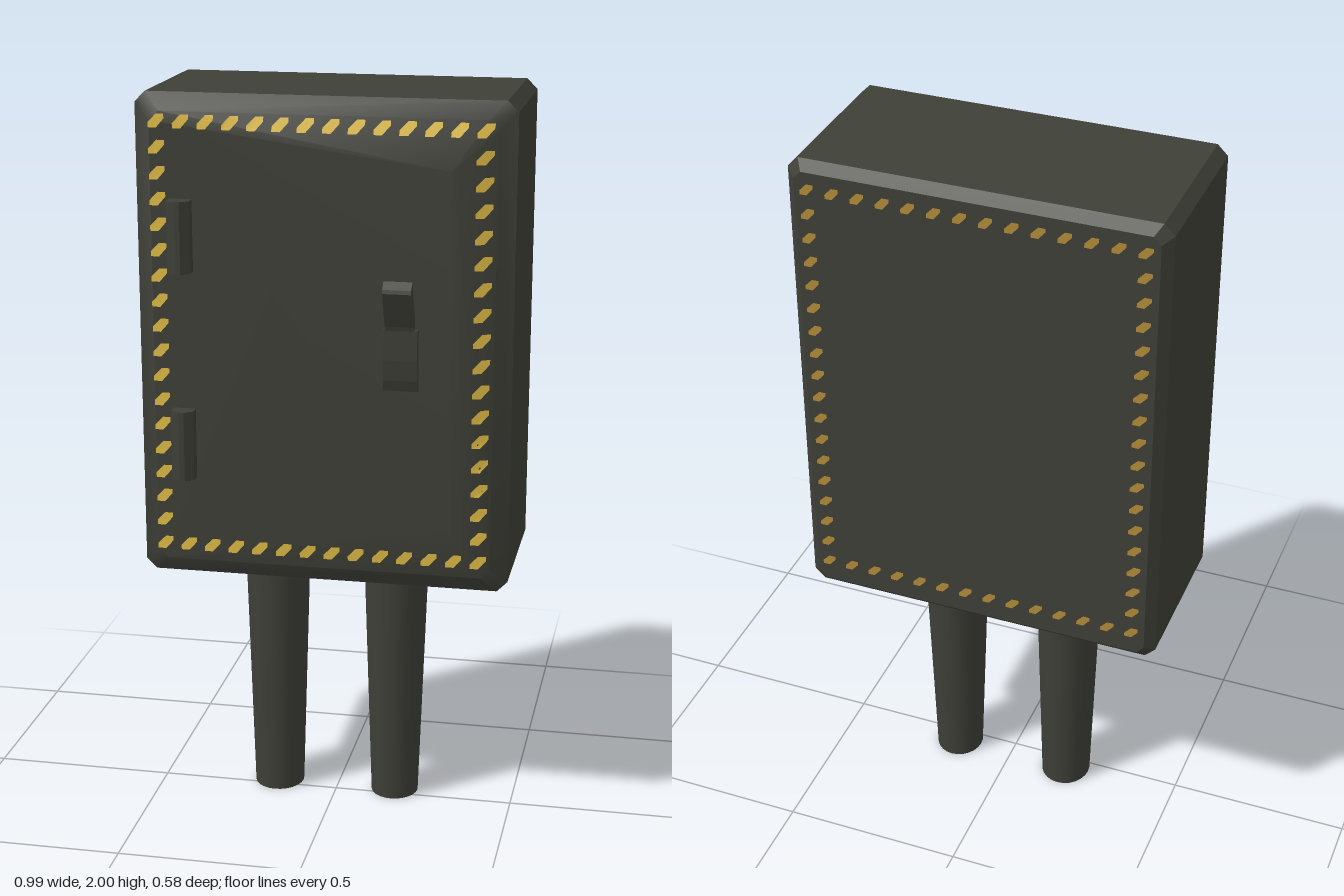
import * as THREE from 'three';
import { toCreasedNormals } from 'three/addons/utils/BufferGeometryUtils.js';

const paint = new THREE.MeshStandardMaterial({ color: 0x3e3f37 });
paint.name = 'dark olive paint';
const yellow = new THREE.MeshStandardMaterial({ color: 0xdfbb45 });
yellow.name = 'yellow dashes';
const ochre = new THREE.MeshStandardMaterial({ color: 0xb08a38 });
ochre.name = 'ochre dashes';

function part(name, geometry, material = paint) {
  const mesh = new THREE.Mesh(geometry, material);
  mesh.name = name;
  return mesh;
}

// Rectangle with cut corners, counter-clockwise seen from +z
function ring(inset, cut, z) {
  const x = 0.495 - inset, b = 0.7 + inset, t = 2 - inset;
  return [[x, b + cut], [x, t - cut], [x - cut, t], [cut - x, t],
    [-x, t - cut], [-x, b + cut], [cut - x, b], [x - cut, b]].map(([px, py]) => [px, py, z]);
}

// Cabinet: bevelled rings from back to front, closed by a bulging door
function cabinetGeometry() {
  const rings = [ring(0.025, 0.02, -0.29), ring(0, 0.028, -0.265), ring(0, 0.028, 0.165), ring(0.045, 0.025, 0.197)];
  const pos = [];
  const tri = (...corners) => corners.forEach((c) => pos.push(...c));
  for (let i = 0; i < 3; i++) {
    for (let k = 0; k < 8; k++) {
      const n = (k + 1) % 8, a = rings[i], b = rings[i + 1];
      tri(a[k], a[n], b[n]);
      tri(a[k], b[n], b[k]);
    }
  }
  for (let k = 1; k < 7; k++) tri(rings[0][0], rings[0][k + 1], rings[0][k]);
  // Two raised points on the latch side shape the door
  const f = rings[3], high = [0.34, 1.83, 0.238], low = [0.34, 0.87, 0.206];
  tri(f[0], f[1], high);
  tri(f[0], high, low);
  for (let k = 1; k < 4; k++) tri(f[k], f[k + 1], high);
  tri(f[4], low, high);
  for (let k = 4; k < 8; k++) tri(f[k], f[(k + 1) % 8], low);
  const g = new THREE.BufferGeometry();
  g.setAttribute('position', new THREE.Float32BufferAttribute(pos, 3));
  return toCreasedNormals(g, 0.45);
}

// Slanted dashes around a rectangular frame, laid on the surface below them
function dashes(body, side, xMin, xMax, scale, material) {
  const spots = [], yMin = 0.79, yMax = 1.93, across = 13, up = 17;
  for (let i = 0; i <= across; i++) {
    const x = THREE.MathUtils.lerp(xMin, xMax, i / across);
    spots.push([x, yMin], [x, yMax]);
  }
  for (let i = 1; i < up; i++) {
    const y = THREE.MathUtils.lerp(yMin, yMax, i / up);
    spots.push([xMin, y], [xMax, y]);
  }
  const outline = [[-0.022, -0.018], [0, -0.018], [0.021, 0.006], [0.021, 0.018], [0, 0.018], [-0.022, -0.005]];
  const shape = new THREE.Shape(outline.map(([x, y]) => new THREE.Vector2(x * scale, y * scale)));
  const ray = new THREE.Raycaster();
  const group = new THREE.Group();
  for (const [x, y] of spots) {
    const g = new THREE.ShapeGeometry(shape);
    if (side < 0) g.rotateY(Math.PI);
    g.translate(x, y, 0);
    const p = g.attributes.position;
    for (let i = 0; i < p.count; i++) {
      ray.set(new THREE.Vector3(p.getX(i), p.getY(i), side), new THREE.Vector3(0, 0, -side));
      const hit = ray.intersectObject(body)[0];
      p.setZ(i, (hit ? hit.point.z : side * 0.2) + side * 0.003);
    }
    g.computeVertexNormals();
    group.add(part('dash', g, material));
  }
  return group;
}

// Side profile given as [z, y] points, extruded along x
function sideProfile(points, x0, x1) {
  const shape = new THREE.Shape(points.map(([z, y]) => new THREE.Vector2(-z, y)));
  const g = new THREE.ExtrudeGeometry(shape, { depth: x1 - x0, bevelEnabled: false });
  g.rotateY(Math.PI / 2);
  g.translate(x0, 0, 0);
  return g;
}

export function createModel() {
  const model = new THREE.Group();
  model.name = 'electricalCabinet';

  const body = part('cabinet', cabinetGeometry());
  model.add(body);

  // Warning borders
  const front = dashes(body, 1, -0.43, 0.42, 1, yellow);
  front.name = 'frontBorder';
  const back = dashes(body, -1, -0.435, 0.435, 0.85, ochre);
  back.name = 'backBorder';
  model.add(front, back);

  // Hinges with a faceted barrel
  const barrel = new THREE.Shape([[-0.4, -0.18], [-0.34, -0.18], [-0.34, -0.228], [-0.362, -0.244],
    [-0.376, -0.244], [-0.4, -0.23]].map(([x, y]) => new THREE.Vector2(x, y)));
  for (const y of [0.98, 1.54]) {
    const g = new THREE.ExtrudeGeometry(barrel, { depth: 0.19, bevelEnabled: false });
    g.rotateX(-Math.PI / 2);
    g.translate(0, y, 0);
    model.add(part('hinge', g));
  }

  // Latch: a low curved plate and a lever tilted outwards
  model.add(part('latchPlate', sideProfile(
    [[0.2, 1.255], [0.224, 1.255], [0.235, 1.285], [0.242, 1.34], [0.243, 1.42], [0.2, 1.42]], 0.168, 0.258)));
  model.add(part('latchLever', sideProfile(
    [[0.2, 1.4], [0.238, 1.4], [0.246, 1.43], [0.29, 1.525], [0.287, 1.535], [0.268, 1.553], [0.226, 1.46], [0.2, 1.44]], 0.174, 0.248)));

  // Tapered legs
  for (const [x, bottom] of [[-0.172, 0.069], [0.164, 0.066]]) {
    const leg = part('leg', new THREE.CylinderGeometry(0.09, bottom, 0.72, 24));
    leg.scale.z = 1.1;
    leg.position.set(x, 0.36, -0.036);
    model.add(leg);
  }
  return model;
}
